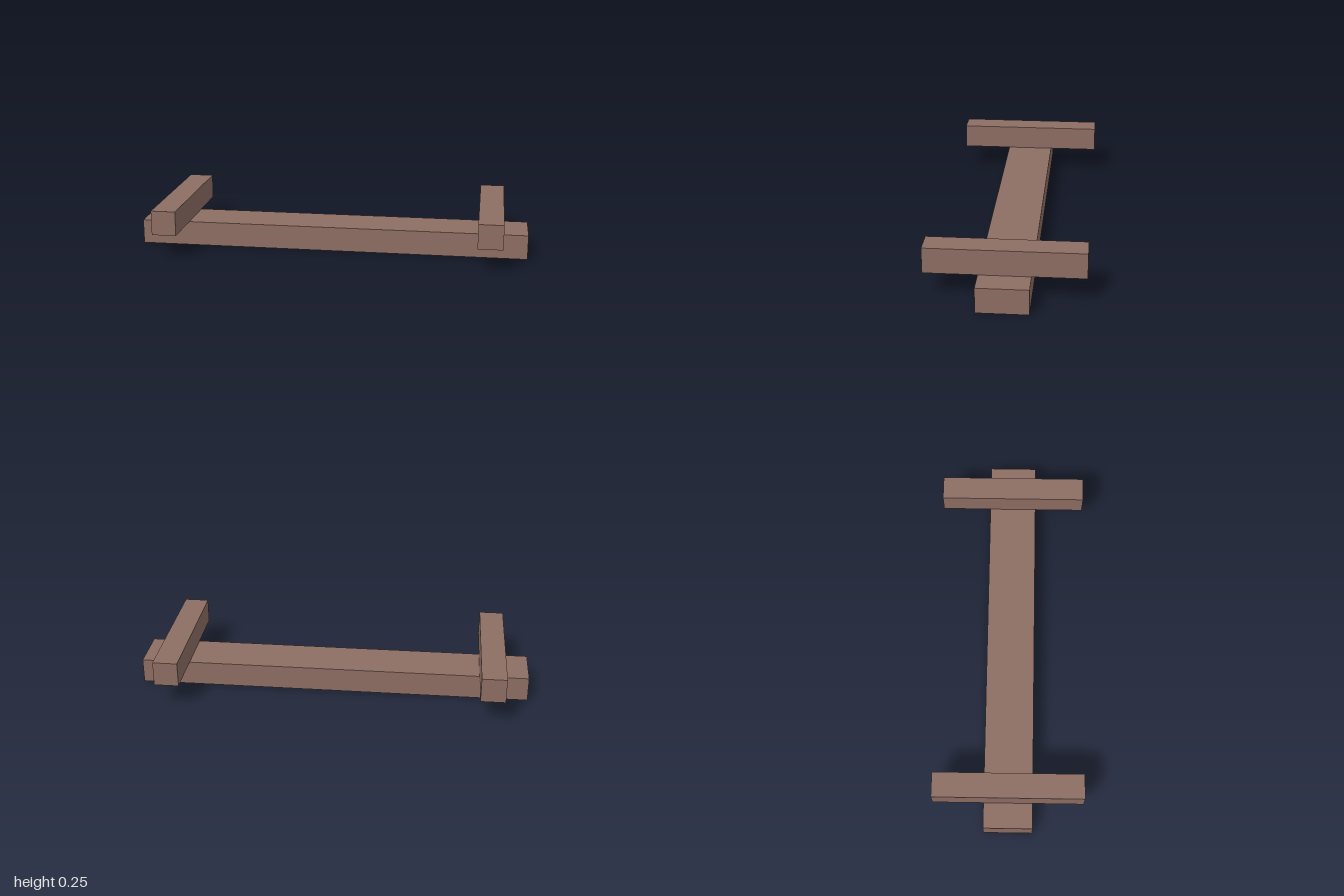
import * as THREE from 'three';

const H = 0.125;          // height of every timber
const BEAM_Z = 0.1225;    // half depth of the long beam
const BAR_Z = 0.376;      // half length of a crossbar
const BAR_IN = 0.75, BAR_OUT = 0.874; // crossbar extent along x

const brown = new THREE.MeshStandardMaterial({ color: 0x8d6e63, side: THREE.DoubleSide });

function add(parent, name, geometry, x, y, z) {
  const mesh = new THREE.Mesh(geometry, brown);
  mesh.name = name;
  mesh.position.set(x, y, z);
  parent.add(mesh);
}

// Box without some of its sides (0 +x, 1 -x, 2 +y, 3 -y, 4 +z, 5 -z)
function openBox(w, h, d, omitted) {
  const box = new THREE.BoxGeometry(w, h, d);
  const index = Array.from(box.index.array);
  box.setIndex(index.filter((_, i) => !omitted.includes(Math.floor(i / 6))));
  box.clearGroups();
  return box;
}

// Flat horizontal panel facing up (1) or down (-1)
function panel(parent, name, x0, x1, z0, z1, y, facing) {
  const plane = new THREE.PlaneGeometry(x1 - x0, z1 - z0).rotateX(-facing * Math.PI / 2);
  add(parent, name, plane, (x0 + x1) / 2, y, (z0 + z1) / 2);
}

export function createModel() {
  const model = new THREE.Group();
  model.name = 'timberFrame';

  // Long hollow beam, open underneath and where the crossbars sit
  const beam = new THREE.Group();
  beam.name = 'beam';
  add(beam, 'beamSides', openBox(2, H, BEAM_Z * 2, [2, 3]), 0, H / 2, 0);
  panel(beam, 'beamTop', -BAR_IN, BAR_IN, -BEAM_Z, BEAM_Z, H, 1);
  panel(beam, 'leftBeamTopEnd', BAR_OUT, 1, -BEAM_Z, BEAM_Z, H, 1);
  panel(beam, 'rightBeamTopEnd', -1, -BAR_OUT, -BEAM_Z, BEAM_Z, H, 1);
  model.add(beam);

  // Crossbars, their undersides open over the beam
  const width = BAR_OUT - BAR_IN;
  for (const side of [1, -1]) {
    const bar = new THREE.Group();
    bar.name = side > 0 ? 'leftCrossbar' : 'rightCrossbar';
    bar.position.x = side * (BAR_IN + BAR_OUT) / 2;
    add(bar, 'crossbarBody', openBox(width, H, BAR_Z * 2, [3]), 0, H * 1.5, 0);
    panel(bar, 'frontUnderside', -width / 2, width / 2, BEAM_Z, BAR_Z, H, -1);
    panel(bar, 'backUnderside', -width / 2, width / 2, -BAR_Z, -BEAM_Z, H, -1);
    model.add(bar);
  }
  return model;
}
